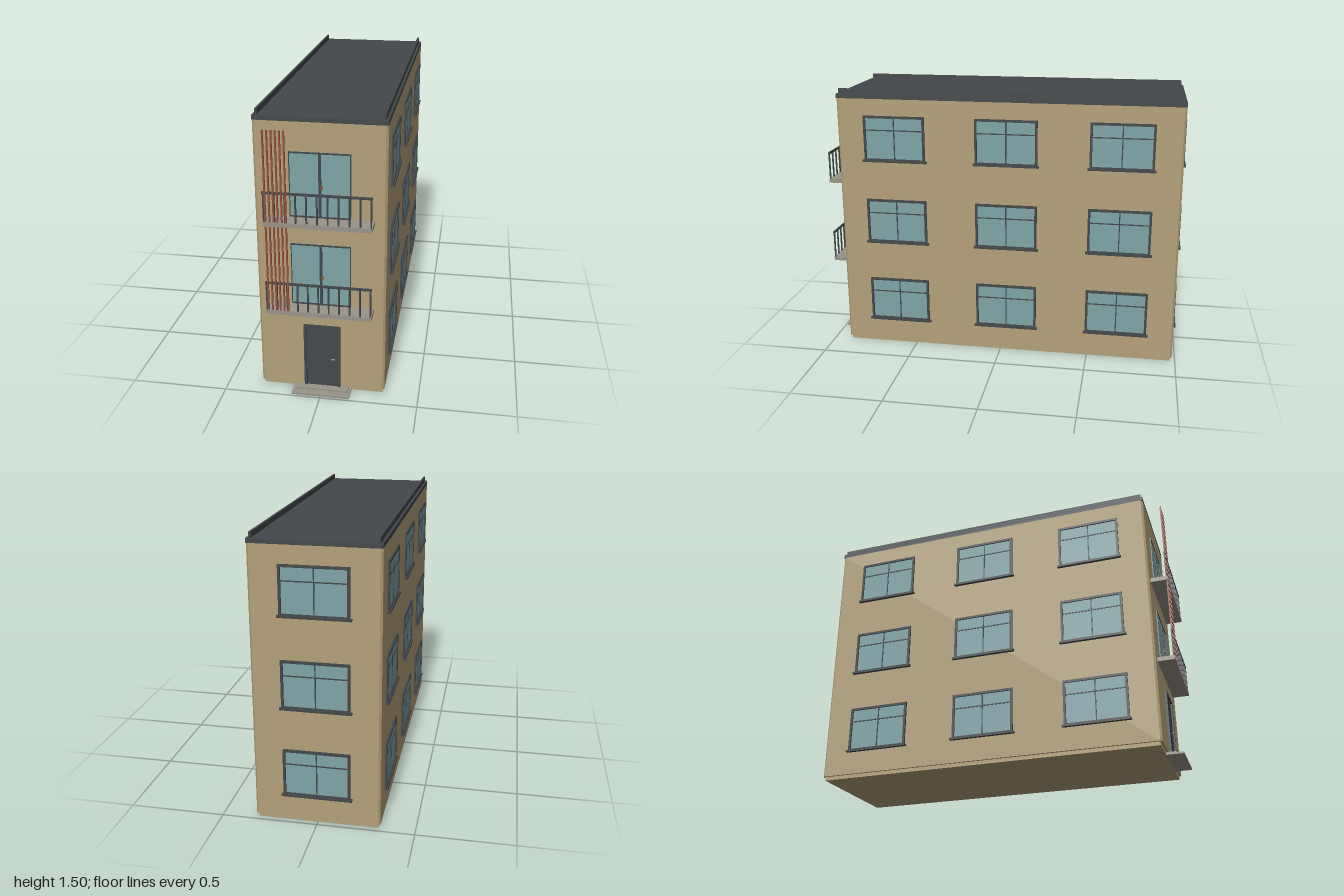
import * as THREE from 'three';

const mat = (name, color, side = THREE.FrontSide) => {
  const m = new THREE.MeshStandardMaterial({ color, side });
  m.name = name;
  return m;
};

export function createModel() {
  const wall = mat('sand render', 0xb5a17a);
  const dark = mat('dark metal', 0x43484a);
  const glass = mat('window glass', 0x7fa4a7);
  const concrete = mat('concrete', 0x9a958a);
  const slatRed = mat('red brown slats', 0x94503d);
  const steel = mat('handle steel', 0x8c9092);

  const model = new THREE.Group();
  model.name = 'apartmentBuilding';

  // box given by its limits on each axis
  const box = (parent, name, m, x0, x1, y0, y1, z0, z1) => {
    const mesh = new THREE.Mesh(new THREE.BoxGeometry(x1 - x0, y1 - y0, z1 - z0), m);
    mesh.position.set((x0 + x1) / 2, (y0 + y1) / 2, (z0 + z1) / 2);
    mesh.name = name;
    parent.add(mesh);
    return mesh;
  };
  const group = (name, x = 0, y = 0, z = 0, turn = 0) => {
    const g = new THREE.Group();
    g.name = name;
    g.position.set(x, y, z);
    g.rotation.y = turn;
    model.add(g);
    return g;
  };

  const W = 0.323, F = 0.909, B = -0.982, C = 0.011; // half width, front, back, corner cut

  // walls with narrow cut corners, standing on a recessed plinth
  const plan = new THREE.Shape([
    [-W + C, -F], [W - C, -F], [W, -F + C], [W, -B - C],
    [W - C, -B], [-W + C, -B], [-W, -B - C], [-W, -F + C],
  ].map(([x, y]) => new THREE.Vector2(x, y)));
  const walls = new THREE.Mesh(
    new THREE.ExtrudeGeometry(plan, { depth: 1.425, bevelEnabled: false }), wall);
  walls.rotation.x = -Math.PI / 2;
  walls.position.y = 0.02;
  walls.name = 'walls';
  model.add(walls);
  box(model, 'plinth', wall, -W + C, W - C, 0, 0.02, B + C, F - C);

  // roof slab and side parapets
  box(model, 'roof', dark, -W, W, 1.445, 1.468, B, F);
  for (const s of [-1, 1]) {
    const p = box(model, 'parapet', dark, -0.006, 0.006, 1.468, 1.496, B + C, F - C);
    p.position.x = s * 0.304;
  }

  // window facing +z, origin at the middle of its lower edge on the wall
  const WW = 0.172, WH = 0.253, T = 0.013;
  const rect = (S, x, y0, y1) => new S([
    new THREE.Vector2(-x, y0), new THREE.Vector2(x, y0),
    new THREE.Vector2(x, y1), new THREE.Vector2(-x, y1)]);
  const frameShape = rect(THREE.Shape, WW, 0, WH);
  frameShape.holes.push(rect(THREE.Path, WW - T, T, WH - T));
  const frameGeo = new THREE.ExtrudeGeometry(frameShape, { depth: 0.01, bevelEnabled: false });
  const addWindow = (x, y, z, turn) => {
    const g = group('window', x, y, z, turn);
    const frame = new THREE.Mesh(frameGeo, dark);
    frame.name = 'windowFrame';
    g.add(frame);
    box(g, 'windowPane', glass, -WW + T, WW - T, T, WH - T, -0.002, 0.003);
    box(g, 'mullion', dark, -0.003, 0.003, T, WH - T, 0, 0.006);
    box(g, 'transom', dark, -WW + T, WW - T, 0.17, 0.176, 0, 0.006);
    box(g, 'windowSill', dark, -0.181, 0.181, -0.005, 0.006, 0, 0.018);
  };
  for (const y of [0.15, 0.625, 1.1]) {
    for (const z of [0.587, -0.036, -0.66]) {
      addWindow(W, y, z, Math.PI / 2);
      addWindow(-W, y, z, -Math.PI / 2);
    }
    addWindow(0, y, B, Math.PI);
  }

  // balconies with glazed doors and front railings
  for (const y of [0.471, 0.945]) {
    const g = group('balcony', 0, y, 0);
    box(g, 'balconySlab', concrete, -0.264, 0.264, 0, 0.023, F, 1);
    box(g, 'balconyDoorGlass', glass, -0.15, 0.15, 0.023, 0.355, F - 0.003, F + 0.003);
    box(g, 'doorHead', dark, -0.15, 0.15, 0.347, 0.355, F, F + 0.006);
    box(g, 'doorThreshold', dark, -0.15, 0.15, 0.023, 0.031, F, F + 0.006);
    box(g, 'doorMeeting', dark, -0.007, 0.007, 0.031, 0.347, F, F + 0.006);
    for (const s of [-1, 1]) {
      const jamb = box(g, 'doorJamb', dark, -0.002, 0.002, 0.031, 0.347, F, F + 0.006);
      jamb.position.x = s * 0.148;
    }
    box(g, 'balconyDoorHandle', slatRed, 0.004, 0.012, 0.17, 0.188, F + 0.004, F + 0.012);
    box(g, 'handrail', dark, -0.264, 0.264, 0.166, 0.177, 0.99, 0.999);
    for (let i = 0; i < 11; i++) {
      const x = -0.258 + i * 0.0516;
      box(g, 'baluster', dark, x - 0.004, x + 0.004, 0.023, 0.166, 0.991, 0.998);
    }
  }

  // vertical slats across both balconies
  for (let i = 0; i < 6; i++) {
    const x = -0.25 + i * 0.02;
    box(model, 'screenSlat', slatRed, x - 0.004, x + 0.004, 0.493, 1.425, 0.992, 0.9995);
  }

  // entrance door and steps
  const entry = group('entrance');
  box(entry, 'door', dark, -0.081, 0.081, 0.02, 0.362, F, F + 0.004);
  box(entry, 'doorLintel', dark, -0.094, 0.094, 0.362, 0.375, F, F + 0.012);
  for (const s of [-1, 1]) {
    const post = box(entry, 'doorPost', dark, -0.0065, 0.0065, 0.02, 0.362, F, F + 0.012);
    post.position.x = s * 0.0875;
  }
  box(entry, 'doorHandle', steel, 0.046, 0.066, 0.179, 0.184, F + 0.004, F + 0.012);
  box(entry, 'lowerStep', concrete, -0.15, 0.15, 0, 0.01, F - C, 0.988);
  box(entry, 'upperStep', concrete, -0.136, 0.136, 0.01, 0.02, F - C, 0.95);

  return model;
}
